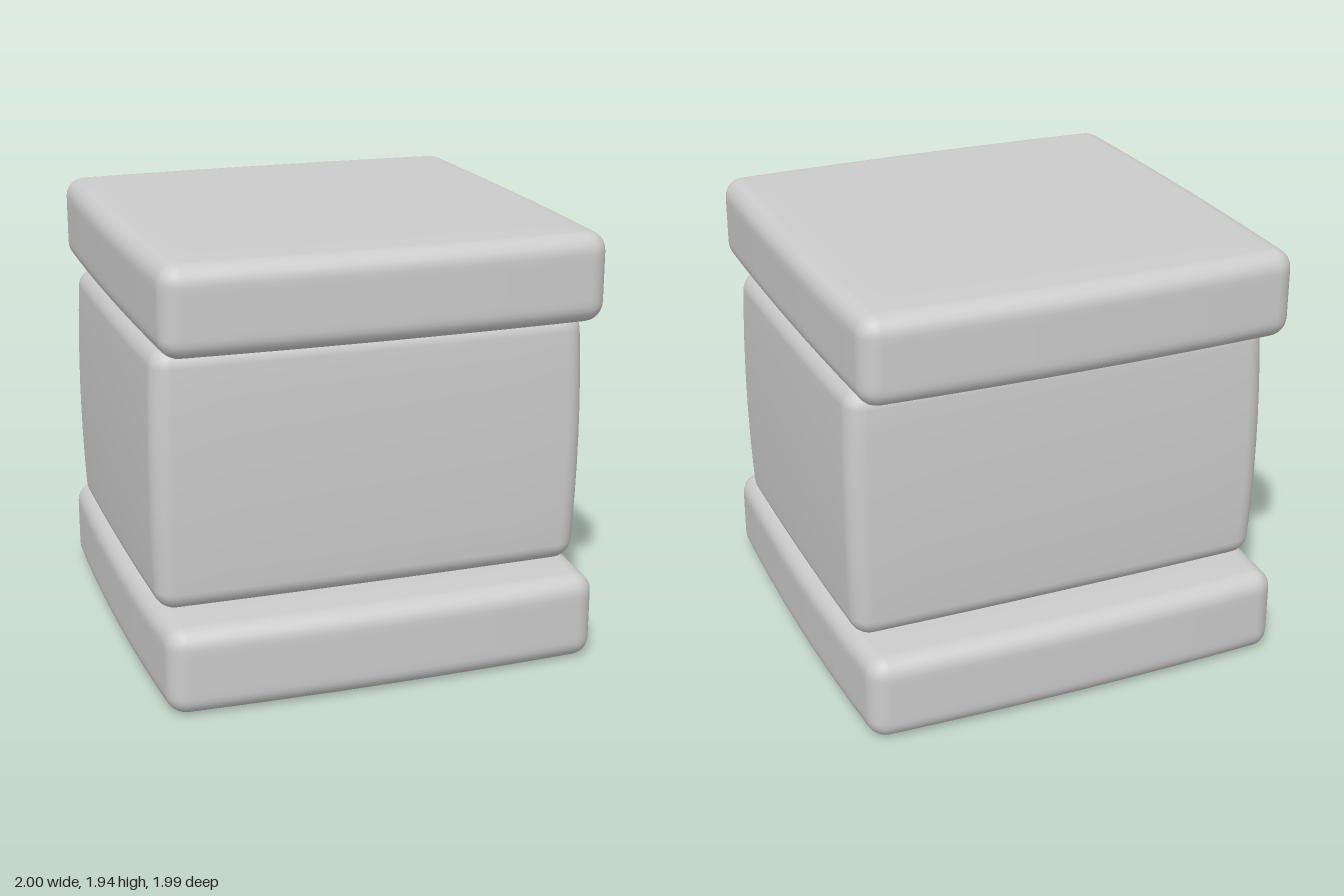
import * as THREE from 'three';
import { mergeVertices } from 'three/addons/utils/BufferGeometryUtils.js';

const material = new THREE.MeshStandardMaterial({ color: 0xcccccc });
const BEVEL = 3, CORE = 4, STEPS = 2 * (BEVEL + CORE);

// Soft block: rounded edges, with side walls that swell in plan and in height
function softBlock(name, half, y, r, { planX = 0, planZ = 0, rise = 0 }) {
  const geo = new THREE.BoxGeometry(1, 1, 1, STEPS, STEPS, STEPS);
  geo.deleteAttribute('uv');
  geo.deleteAttribute('normal');
  const pos = geo.attributes.position;
  const core = new THREE.Vector3(), off = new THREE.Vector3();
  for (let i = 0; i < pos.count; i++) {
    for (let a = 0; a < 3; a++) {
      const k = Math.round(pos.getComponent(i, a) * STEPS);
      const inner = THREE.MathUtils.clamp(k, -CORE, CORE);
      core.setComponent(a, inner / CORE * (half[a] - r));
      off.setComponent(a, Math.tan((k - inner) / BEVEL * Math.PI / 4));
    }
    const p = off.setLength(r).add(core);
    const [bx, by, bz] = [0, 1, 2].map(a => 1 - (p.getComponent(a) / half[a]) ** 2);
    pos.setXYZ(i,
      p.x + p.x / half[0] * (planX * bz + rise * by),
      p.y,
      p.z + p.z / half[2] * (planZ * bx + rise * by));
  }
  const smooth = mergeVertices(geo, 1e-5);
  smooth.computeVertexNormals();
  const mesh = new THREE.Mesh(smooth, material);
  mesh.name = name;
  mesh.position.y = y;
  return mesh;
}

export function createModel() {
  const group = new THREE.Group();
  group.name = 'pedestalBlock';
  group.add(
    softBlock('bottomSlab', [0.97, 0.195, 0.97], 0.195, 0.085, { planX: 0.03, planZ: 0.025 }),
    softBlock('middleBlock', [0.96, 0.58, 0.765], 0.97, 0.085, { planX: 0.01, planZ: 0.01, rise: 0.016 }),
    softBlock('topSlab', [0.967, 0.195, 0.967], 1.745, 0.085, { planX: 0.018, planZ: 0.026 }),
  );
  return group;
}
